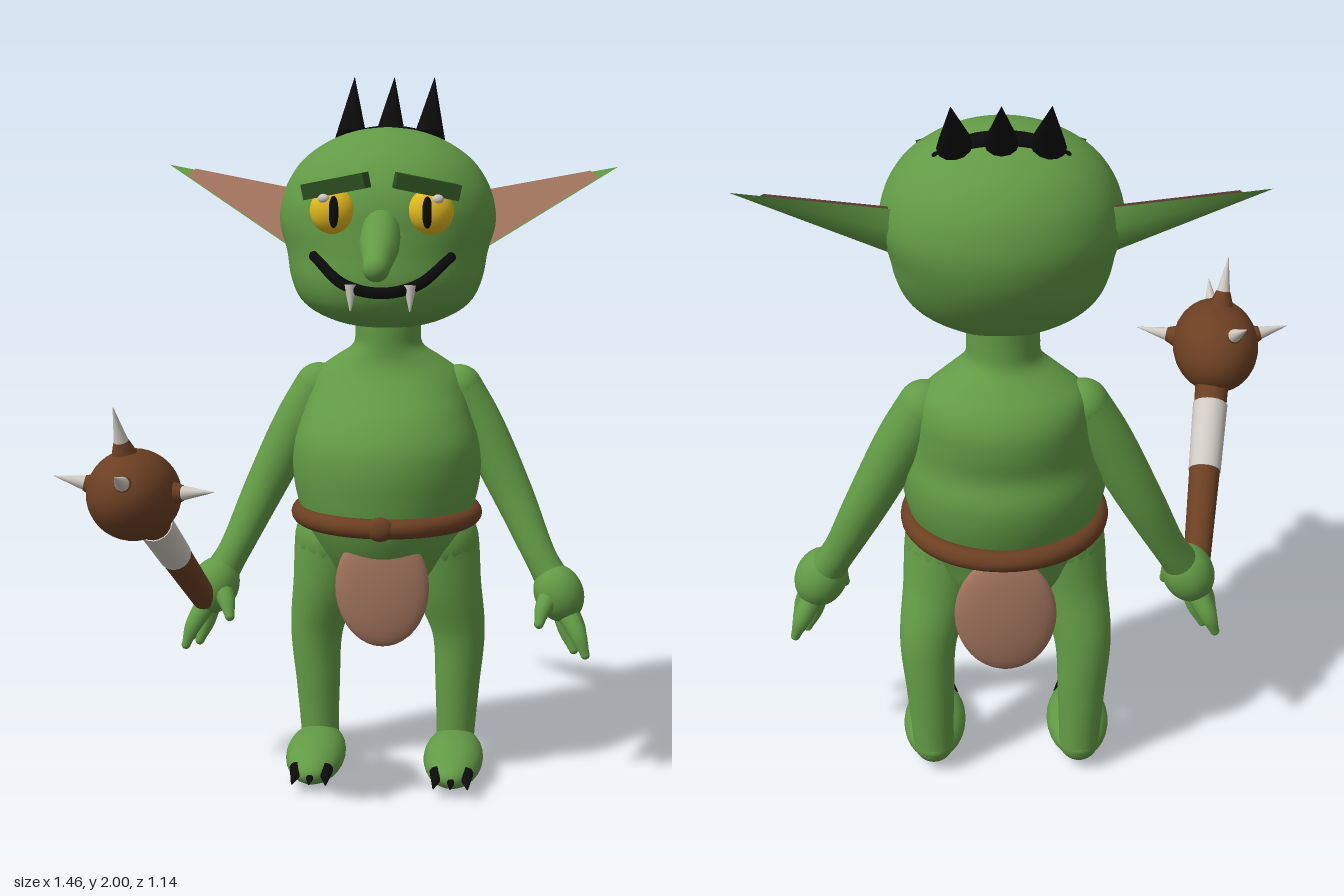
import * as THREE from 'three';
import { mergeVertices } from 'three/addons/utils/BufferGeometryUtils.js';

const V = (x, y, z) => new THREE.Vector3(x, y, z);

function paint(name, color, side = THREE.FrontSide) {
  const m = new THREE.MeshStandardMaterial({ color, side });
  m.name = name;
  return m;
}

function add(parent, name, geometry, material) {
  const mesh = new THREE.Mesh(geometry, material);
  mesh.name = name;
  parent.add(mesh);
  return mesh;
}

// Smooth 1D spline through a column of values
const spline = (values) => {
  const c = new THREE.SplineCurve(values.map((v, i) => new THREE.Vector2(i, v)));
  return (t) => c.getPoint(t).y;
};

// Stacked ellipses: rows of [y, halfWidth, zFront, zBack]
function loft(rows) {
  const [fy, fw, ff, fb] = [0, 1, 2, 3].map((k) => spline(rows.map((r) => r[k])));
  const g = new THREE.CylinderGeometry(1, 1, 1, 48, rows.length * 4, true);
  const p = g.attributes.position, uv = g.attributes.uv;
  for (let i = 0; i < p.count; i++) {
    const t = uv.getY(i), mid = (ff(t) + fb(t)) / 2, half = (ff(t) - fb(t)) / 2;
    p.setXYZ(i, p.getX(i) * fw(t), fy(t), mid + p.getZ(i) * half);
  }
  g.deleteAttribute('uv');
  g.deleteAttribute('normal');
  const merged = mergeVertices(g);
  merged.computeVertexNormals();
  return merged;
}

// Ball, stretched and placed
function ball(parent, name, material, pos, size, rotX = 0) {
  const m = add(parent, name, new THREE.SphereGeometry(1, 28, 20), material);
  m.position.set(...pos);
  m.scale.set(...size);
  m.rotation.x = rotX;
  return m;
}

// Round limb through points [x, y, z, radius], with rounded ends
function limb(parent, name, material, pts, sides = 20) {
  const group = new THREE.Group();
  group.name = name;
  parent.add(group);
  const curve = new THREE.CatmullRomCurve3(pts.map((p) => V(p[0], p[1], p[2])));
  const radius = spline(pts.map((p) => p[3]));
  const n = pts.length * 6;
  const g = new THREE.TubeGeometry(curve, n, 1, sides);
  const p = g.attributes.position;
  for (let i = 0; i < p.count; i++) {
    const u = Math.floor(i / (sides + 1)) / n;
    const c = curve.getPointAt(u), r = radius(curve.getUtoTmapping(u));
    const q = V().fromBufferAttribute(p, i).sub(c).multiplyScalar(r).add(c);
    p.setXYZ(i, q.x, q.y, q.z);
  }
  add(group, name + 'Tube', g, material);
  for (const e of [pts[0], pts[pts.length - 1]]) {
    ball(group, name + 'End', material, e.slice(0, 3), [e[3], e[3], e[3]]);
  }
}

// Straight tapered rod from a to b
function rod(parent, name, material, a, b, ra, rb, sides = 20) {
  const d = b.clone().sub(a);
  const m = add(parent, name, new THREE.CylinderGeometry(rb, ra, d.length(), sides), material);
  m.position.copy(a).addScaledVector(d, 0.5);
  m.quaternion.setFromUnitVectors(V(0, 1, 0), d.normalize());
}

// Fan from a tip to a line of base points; flip keeps faces outward when mirrored
function fan(tip, base, flip) {
  const g = new THREE.BufferGeometry().setFromPoints([tip, ...base]);
  const idx = [];
  for (let i = 1; i < base.length; i++) idx.push(0, ...(flip ? [i + 1, i] : [i, i + 1]));
  g.setIndex(idx);
  g.computeVertexNormals();
  return g;
}

export function createModel() {
  const skin = paint('green skin', 0x629a45, THREE.DoubleSide);
  const flesh = paint('pink brown', 0xa3745d, THREE.DoubleSide);
  const brown = paint('brown', 0x6b3f22);
  const black = paint('black', 0x0b0b0b);
  const ivory = paint('ivory', 0xcfcac2);
  const yellow = paint('yellow', 0xe2b81e);
  const browGreen = paint('dark green', 0x2c5022);

  const root = new THREE.Group();
  root.name = 'creature';
  const body = new THREE.Group();
  body.name = 'body';
  body.position.x = 0.09;
  root.add(body);

  // Torso with pot belly, running up into the neck
  add(body, 'torso', loft([
    [0.53, 0.005, -0.3, -0.31], [0.56, 0.1, -0.2, -0.43], [0.62, 0.16, -0.15, -0.48],
    [0.70, 0.205, -0.1, -0.505], [0.78, 0.24, -0.07, -0.53], [0.86, 0.262, -0.058, -0.553],
    [0.93, 0.268, -0.054, -0.558], [1.0, 0.26, -0.066, -0.54], [1.07, 0.24, -0.11, -0.548],
    [1.13, 0.225, -0.17, -0.545], [1.18, 0.205, -0.215, -0.52], [1.22, 0.155, -0.235, -0.48],
    [1.26, 0.1, -0.238, -0.44], [1.31, 0.093, -0.237, -0.43], [1.4, 0.093, -0.237, -0.43],
  ]), skin);

  // Head with a broad jaw
  add(body, 'head', loft([
    [1.322, 0.005, -0.25, -0.26], [1.33, 0.11, -0.16, -0.37], [1.36, 0.19, -0.09, -0.43],
    [1.40, 0.24, -0.055, -0.47], [1.46, 0.267, -0.036, -0.515], [1.53, 0.28, -0.04, -0.55],
    [1.60, 0.3, -0.045, -0.565], [1.66, 0.297, -0.05, -0.56], [1.72, 0.277, -0.07, -0.54],
    [1.78, 0.235, -0.11, -0.495], [1.83, 0.165, -0.17, -0.425], [1.86, 0.085, -0.23, -0.35],
    [1.87, 0.004, -0.285, -0.29],
  ]), skin);
  limb(body, 'nose', skin, [[0, 1.62, -0.08, 0.05], [0, 1.57, 0, 0.054],
    [0, 1.538, 0.06, 0.042], [0, 1.52, 0.108, 0.036]]);

  // Grin
  limb(body, 'mouth', black, [[-0.185, 1.53, -0.102, 0.014], [-0.1, 1.46, -0.05, 0.016],
    [0, 1.438, -0.036, 0.016], [0.1, 1.46, -0.05, 0.016], [0.185, 1.53, -0.102, 0.014]], 10);

  for (const s of [-1, 1]) {
    // Eye, brow and fang
    ball(body, 'eye', yellow, [0.132 * s, 1.655, -0.075], [0.062, 0.062, 0.05]);
    ball(body, 'pupil', black, [0.125 * s, 1.655, -0.032], [0.014, 0.043, 0.012]);
    ball(body, 'eyeGlint', ivory, [0.152 * s, 1.69, -0.04], [0.016, 0.013, 0.012]);
    const brow = add(body, 'brow', new THREE.BoxGeometry(0.175, 0.042, 0.06), browGreen);
    brow.position.set(0.122 * s, 1.722, -0.062);
    brow.rotation.set(0, 0.2 * s, -0.2 * s);
    rod(body, 'fang', ivory, V(0.08 * s, 1.46, -0.04), V(0.08 * s, 1.39, -0.03), 0.018, 0.002, 12);

    // Pointed ear: green shell behind, pink hollow in front
    const at = (x, y, z) => V(x * s, y, z);
    const tip = at(0.64, 1.755, -0.455);
    const low = at(0.25, 1.525, -0.27), high = at(0.25, 1.685, -0.4);
    add(body, 'earShell', fan(tip, [high, at(0.25, 1.63, -0.41), at(0.25, 1.57, -0.39),
      at(0.25, 1.53, -0.33), low], s > 0), skin);
    add(body, 'earRim', fan(tip, [low, high], s > 0), skin);
    const out = V(0, 0.004, 0.005);
    const inner = (p, t) => p.clone().lerp(tip, t).add(out);
    add(body, 'earHollow', fan(inner(low, 0.86), [inner(low, 0), inner(high, 0.06)], s > 0), flesh);
    add(body, 'earHollowEnd', fan(inner(high, 0.8), [inner(low, 0.86), inner(high, 0.06)], s < 0), flesh);

    // Arm and hand
    limb(body, 'arm', skin, [[0.2 * s, 1.13, -0.365, 0.07], [0.265 * s, 1.02, -0.36, 0.068],
      [0.36 * s, 0.83, -0.342, 0.058], [0.44 * s, 0.66, -0.3, 0.046], [0.48 * s, 0.59, -0.28, 0.05]]);
    const palm = ball(body, 'palm', skin, [0.495 * s, 0.56, -0.27], [0.07, 0.085, 0.072]);
    palm.rotation.z = 0.4 * s;
    for (const [x, z] of [[0.572, -0.215], [0.54, -0.265], [0.57, -0.31]]) {
      limb(body, 'finger', skin, [[0.505 * s, 0.53, -0.27, 0.034],
        [(x - 0.02) * s, 0.45, z - 0.005, 0.024], [x * s, 0.395, z, 0.013]], 12);
    }
    limb(body, 'thumb', skin, [[0.48 * s, 0.57, -0.25, 0.035], [0.452 * s, 0.53, -0.21, 0.025],
      [0.44 * s, 0.49, -0.188, 0.014]], 12);

    // Leg, foot and claws
    limb(body, 'leg', skin, [[0.15 * s, 0.7, -0.31, 0.115], [0.175 * s, 0.57, -0.325, 0.098],
      [0.207 * s, 0.42, -0.358, 0.077], [0.205 * s, 0.25, -0.37, 0.064], [0.2 * s, 0.08, -0.375, 0.055]]);
    ball(body, 'foot', skin, [0.2 * s, 0.066, -0.255], [0.086, 0.06, 0.178], 0.08);
    for (const d of [-0.04, 0, 0.04]) {
      rod(body, 'claw', black, V(0.2 * s + d, 0.062, -0.125), V(0.2 * s + d * 1.2, 0.042, -0.05), 0.023, 0.002, 10);
    }
  }

  // Hair crest: a band over the crown with three swept-back spikes
  limb(body, 'hairBand', black, [[-0.15, 1.8, -0.37, 0.022], [-0.08, 1.835, -0.37, 0.026],
    [0, 1.846, -0.37, 0.026], [0.08, 1.835, -0.37, 0.026], [0.15, 1.8, -0.37, 0.022]], 10);
  for (const x of [-0.115, 0, 0.115]) {
    rod(body, 'hairSpike', black, V(x * 0.95, 1.83, -0.37), V(x, 2, -0.553), 0.046, 0.001, 12);
  }

  // Belt with knot, front and back loincloth
  const belt = add(body, 'belt', new THREE.TorusGeometry(0.245, 0.028, 16, 56), brown);
  belt.rotation.x = Math.PI / 2;
  belt.position.set(0, 0.783, -0.307);
  ball(body, 'beltKnot', brown, [0, 0.785, -0.05], [0.038, 0.034, 0.022]);
  ball(body, 'frontLoincloth', flesh, [0, 0.6, -0.135], [0.132, 0.172, 0.032]);
  ball(body, 'backLoincloth', flesh, [0, 0.6, -0.518], [0.132, 0.172, 0.034]);

  // Spiked club in the right hand
  const club = new THREE.Group();
  club.name = 'club';
  root.add(club);
  const butt = V(-0.43, 0.53, -0.235), core = V(-0.52, 0.95, 0.315);
  const along = (t) => butt.clone().lerp(core, t);
  rod(club, 'handle', brown, along(0), along(0.44), 0.036, 0.043);
  rod(club, 'handleWrap', ivory, along(0.44), along(0.73), 0.045, 0.049);
  rod(club, 'handleNeck', brown, along(0.73), along(1), 0.046, 0.05);
  ball(club, 'clubHead', brown, core.toArray(), [0.122, 0.12, 0.162], -0.15);
  for (const t of [[-0.555, 1.19, 0.39], [-0.725, 1.0, 0.335], [-0.3, 0.975, 0.385],
    [-0.52, 1.045, 0.56], [-0.585, 1.085, 0.14]]) {
    const tip = V(...t), mid = core.clone().lerp(tip, 0.62);
    rod(club, 'spikeBase', brown, core.clone().lerp(tip, 0.35), mid, 0.045, 0.02, 14);
    rod(club, 'spike', ivory, mid, tip, 0.019, 0.001, 14);
  }
  return root;
}
